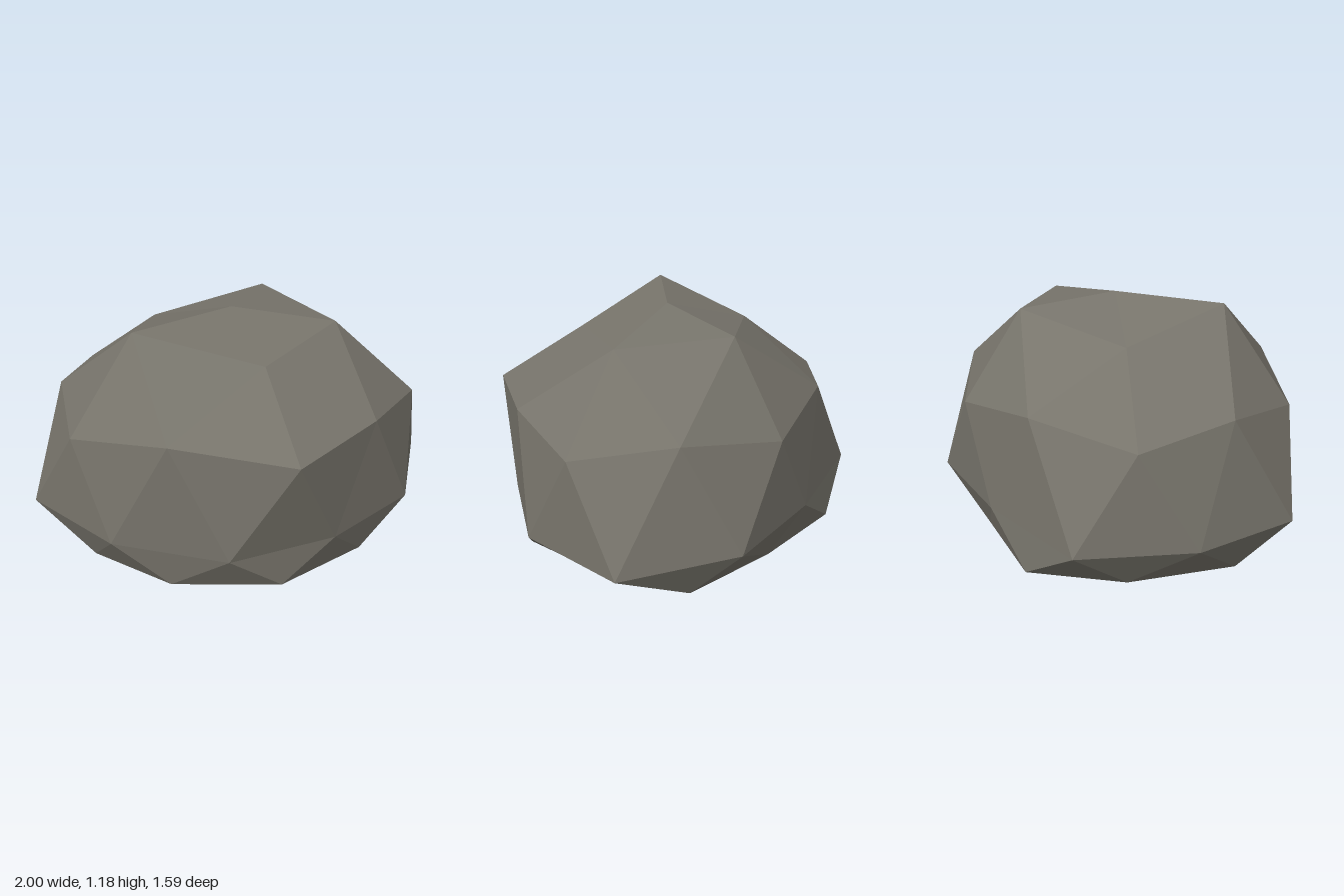
import * as THREE from 'three';

// Rings of [x, y, z] from top to bottom, ordered by angle from +x towards +z
const TOP = [[-0.01, 1.18, -0.02]];
const CROWN = [[0.5, 1.1, -0.02], [0.14, 1.045, 0.38], [-0.47, 1.17, 0.27], [-0.4, 1.04, -0.26], [0.16, 1.13, -0.46]];
const SHOULDER = [
  [0.91, 0.72, -0.02], [0.66, 0.78, 0.415], [0.28, 0.75, 0.79], [-0.3, 0.82, 0.72], [-0.765, 0.71, 0.44],
  [-0.865, 0.78, -0.02], [-0.765, 0.71, -0.485], [-0.285, 0.78, -0.72], [0.235, 0.7, -0.745], [0.66, 0.78, -0.445],
];
const WAIST = [
  [0.87, 0.235], [0.475, 0.59], [-0.03, 0.785], [-0.585, 0.63], [-1, 0.25],
  [-0.95, -0.28], [-0.655, -0.755], [-0.03, -0.785], [0.545, -0.705], [1, -0.31],
].map(([x, z]) => [x, 0.25, z]);
const FOOT = [
  [0.7, -0.02], [0.625, 0.4], [0.22, 0.69], [-0.305, 0.68], [-0.69, 0.43],
  [-0.89, 0], [-0.69, -0.48], [-0.335, -0.795], [0.17, -0.68], [0.65, -0.495],
].map(([x, z]) => [x, 0.048, z]);
const SOLE = [[0.4, 0.25], [-0.17, 0.43], [-0.57, -0.02], [-0.18, -0.46], [0.4, -0.29]].map(([x, z]) => [x, 0.014, z]);
const BOTTOM = [[-0.01, 0, -0.02]];

function rockGeometry() {
  const positions = [];
  const at = (ring, i) => ring[(i + ring.length) % ring.length];
  const face = (a, b, c) => positions.push(...a, ...b, ...c);

  // caps: a five-sided fan, then a belt from five to ten corners
  const cap = (pole, inner, outer, shift, tri) => {
    for (let i = 0; i < 5; i++) {
      const j = 2 * i + shift;
      const a = at(inner, i), b = at(inner, i + 1), mid = at(outer, j + 1);
      tri(pole, b, a);
      tri(a, mid, at(outer, j));
      tri(a, b, mid);
      tri(b, at(outer, j + 2), mid);
    }
  };
  cap(TOP[0], CROWN, SHOULDER, 0, face);
  cap(BOTTOM[0], SOLE, FOOT, 1, (a, b, c) => face(a, c, b));

  // zigzag belts above and below the waist
  for (let j = 0; j < 10; j++) {
    const w = at(WAIST, j), next = at(WAIST, j + 1);
    face(at(SHOULDER, j), at(SHOULDER, j + 1), w);
    face(at(SHOULDER, j + 1), next, w);
    face(at(FOOT, j), w, at(FOOT, j + 1));
    face(at(FOOT, j + 1), w, next);
  }

  const geometry = new THREE.BufferGeometry();
  geometry.setAttribute('position', new THREE.Float32BufferAttribute(positions, 3));
  geometry.computeVertexNormals();
  return geometry;
}

export function createModel() {
  const stone = new THREE.MeshStandardMaterial({ color: 0x77746b, flatShading: true });
  stone.name = 'stone';
  const rock = new THREE.Mesh(rockGeometry(), stone);
  rock.name = 'rock';
  const group = new THREE.Group();
  group.name = 'boulder';
  group.add(rock);
  return group;
}
